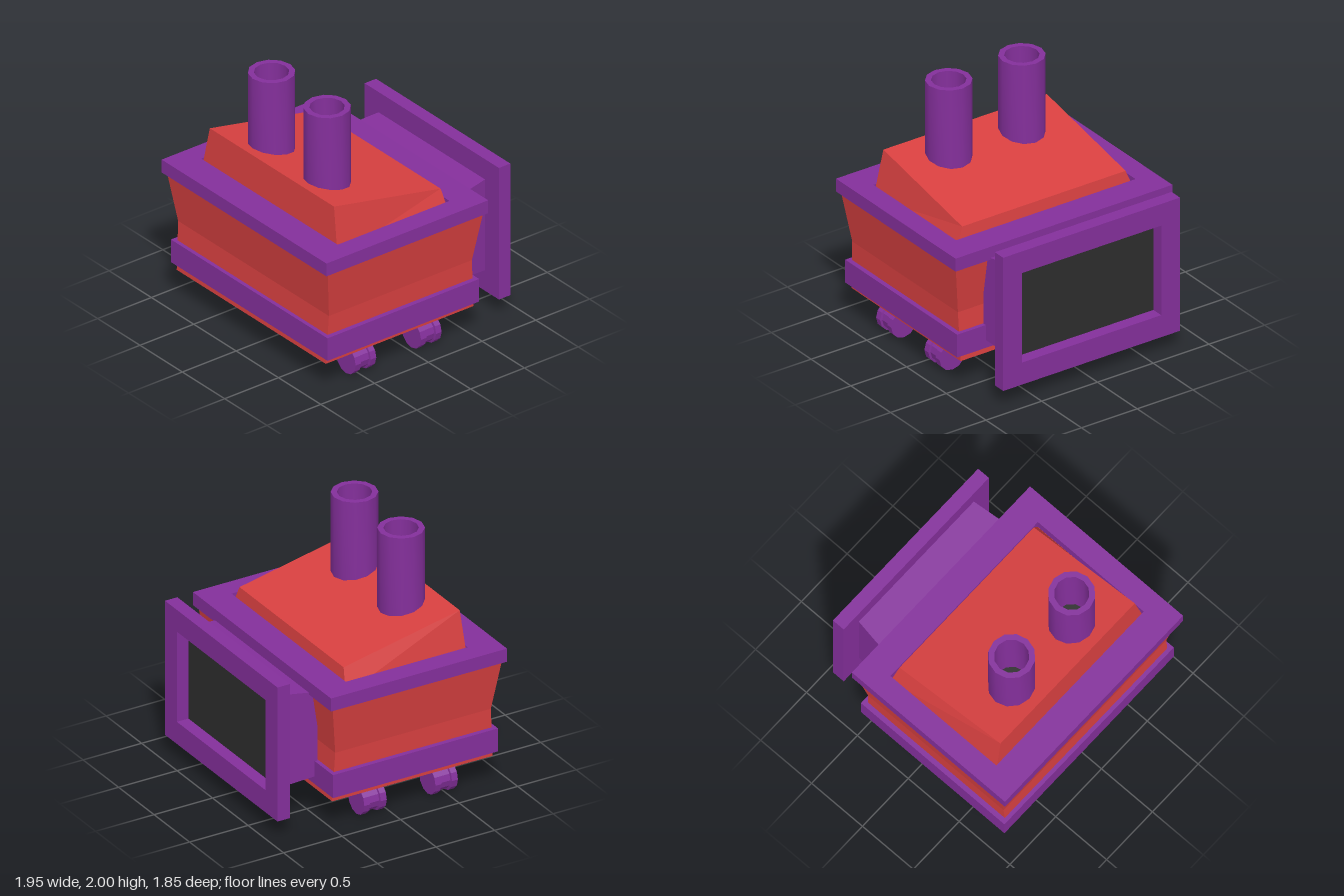
import * as THREE from 'three';
import { toCreasedNormals } from 'three/addons/utils/BufferGeometryUtils.js';

const material = (name, color) => {
  const m = new THREE.MeshStandardMaterial({ color });
  m.name = name;
  return m;
};

// Flat-faced solid through four-cornered rings, capped at both ends
function loft(rings) {
  const pos = [];
  const quad = (a, b, c, d) => pos.push(...a, ...b, ...c, ...a, ...c, ...d);
  for (let r = 0; r < rings.length - 1; r++) {
    for (let i = 0; i < 4; i++) {
      const j = (i + 1) % 4;
      quad(rings[r][i], rings[r][j], rings[r + 1][j], rings[r + 1][i]);
    }
  }
  quad(...[...rings[0]].reverse());
  quad(...rings[rings.length - 1]);
  const g = new THREE.BufferGeometry();
  g.setAttribute('position', new THREE.Float32BufferAttribute(pos, 3));
  g.computeVertexNormals();
  return g;
}

// Horizontal ring whose height may differ between front and back
const level = (hx, zBack, zFront, yFront, yBack = yFront) => [
  [-hx, yFront, zFront], [hx, yFront, zFront], [hx, yBack, zBack], [-hx, yBack, zBack],
];

// Upright ring facing the back
const upright = (hx, y0, y1, z) => [[hx, y0, z], [-hx, y0, z], [-hx, y1, z], [hx, y1, z]];

// Rectangular plate with a rectangular opening, extruded along z
function frame(hx, v0, v1, holeX, h0, h1, depth) {
  const rect = (x, a, b) => [[-x, a], [x, a], [x, b], [-x, b]].map(p => new THREE.Vector2(...p));
  const shape = new THREE.Shape(rect(hx, v0, v1));
  shape.holes.push(new THREE.Path(rect(holeX, h0, h1).reverse()));
  return new THREE.ExtrudeGeometry(shape, { depth, bevelEnabled: false });
}

const lathe = (points, sides, crease) =>
  toCreasedNormals(new THREE.LatheGeometry(points.map(p => new THREE.Vector2(...p)), sides), crease);

export function createModel() {
  const red = material('red', 0xd84040);
  const purple = material('purple', 0x842f9b);
  const dark = material('charcoal', 0x2d2d2d);

  const model = new THREE.Group();
  const add = (name, geometry, mat, x = 0, y = 0, z = 0) => {
    const mesh = new THREE.Mesh(geometry, mat);
    mesh.name = name;
    mesh.position.set(x, y, z);
    model.add(mesh);
    return mesh;
  };

  // Flared body
  add('body', loft([
    level(0.88, -0.513, 0.859, 0.24),
    level(0.89, -0.492, 0.838, 0.64),
    level(0.95, -0.55, 0.896, 1.045),
  ]), red);

  // Band round the lower body
  add('lowerBand', new THREE.BoxGeometry(1.85, 0.19, 1.41), purple, 0, 0.387, 0.173);

  // Rim with the sloping roof rising through its opening
  const rim = frame(0.973, -0.926, 0.578, 0.805, -0.69, 0.35, 0.108);
  rim.rotateX(-Math.PI / 2);
  add('rim', rim, purple, 0, 1.042, 0);
  add('roof', loft([
    level(0.805, -0.35, 0.69, 1.042),
    level(0.733, -0.325, 0.667, 1.43, 1.23),
  ]), red);

  // Hollow stacks with a dark floor inside
  const stack = lathe([[0.175, 1.28], [0.175, 2], [0.13, 2], [0.13, 1.28]], 12, 0.8);
  const stackFloor = new THREE.CircleGeometry(0.13, 12).rotateX(-Math.PI / 2);
  for (const [side, s] of [['left', 1], ['right', -1]]) {
    add(side + 'Stack', stack, purple, s * 0.328, 0, 0.412);
    add(side + 'StackFloor', stackFloor, dark, s * 0.328, 1.42, 0.412);
  }

  // Rear neck, framed opening and dark panel
  add('rearNeck', loft([
    upright(0.67, 0.358, 1.05, -0.508),
    upright(0.628, 0.32, 1.085, -0.822),
  ]), purple);
  add('rearFrame', frame(0.793, 0.147, 1.255, 0.625, 0.33, 1.075, 0.106), purple, 0, 0, -0.926);
  add('rearPanel', new THREE.BoxGeometry(1.25, 0.745, 0.006), dark, 0, 0.7025, -0.824);

  // Grooved wheels
  const wheel = lathe([
    [0, -0.096], [0.115, -0.096], [0.115, -0.045], [0.098, -0.041],
    [0.098, 0.041], [0.115, 0.045], [0.115, 0.096], [0, 0.096],
  ], 12, 0.1);
  wheel.rotateX(Math.PI / 2);
  for (const [end, z] of [['front', 0.475], ['rear', -0.133]]) {
    add(end + 'LeftWheel', wheel, purple, 0.752, 0.118, z);
    add(end + 'RightWheel', wheel, purple, -0.752, 0.118, z);
  }

  return model;
}
